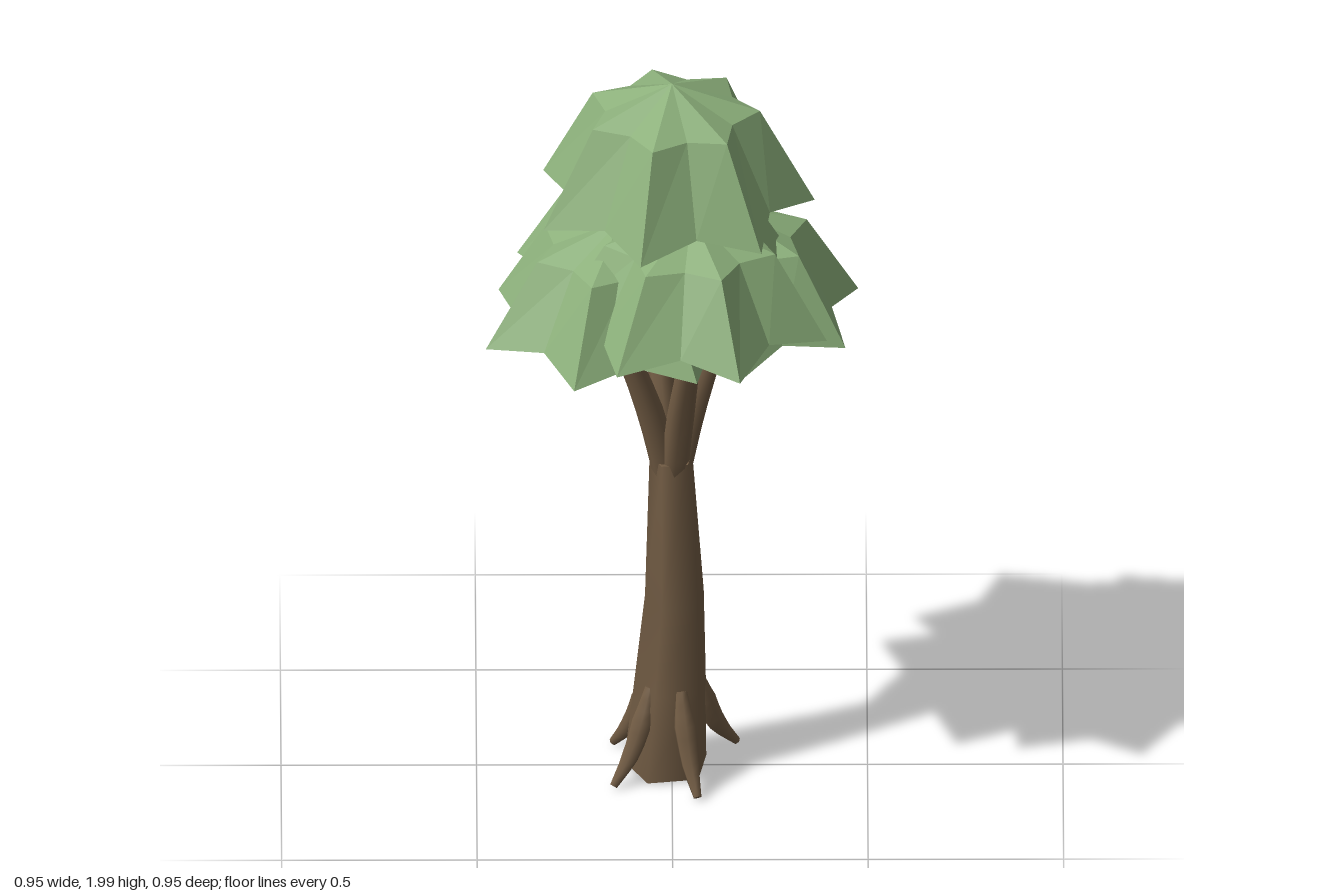
import * as THREE from 'three';

const foliage = new THREE.MeshStandardMaterial({ color: 0x8cb07b });
foliage.name = 'leaf green';
const bark = new THREE.MeshStandardMaterial({ color: 0x725c44 });
bark.name = 'bark brown';

// Skin rings of equal length; the ends are closed with separate flat caps
function loft(rings) {
  const n = rings[0].length, pos = [], idx = [];
  rings.forEach(r => r.forEach(p => pos.push(p.x, p.y, p.z)));
  for (let i = 0; i < rings.length - 1; i++) {
    for (let j = 0; j < n; j++) {
      const a = i * n + j, b = i * n + (j + 1) % n;
      idx.push(a, a + n, b, b, a + n, b + n);
    }
  }
  for (const [ring, flip] of [[rings[0], false], [rings[rings.length - 1], true]]) {
    const base = pos.length / 3;
    ring.forEach(p => pos.push(p.x, p.y, p.z));
    for (let j = 1; j < n - 1; j++) {
      if (flip) idx.push(base, base + j + 1, base + j);
      else idx.push(base, base + j, base + j + 1);
    }
  }
  const g = new THREE.BufferGeometry();
  g.setAttribute('position', new THREE.Float32BufferAttribute(pos, 3));
  g.setIndex(idx);
  g.computeVertexNormals();
  return g;
}

// Horizontal ring, running from +x towards +z
function ring(x, y, z, count, radiusAt, phase = 0) {
  return Array.from({ length: count }, (_, j) => {
    const a = phase + (j / count) * Math.PI * 2, r = radiusAt(j);
    return new THREE.Vector3(x + Math.cos(a) * r, y, z + Math.sin(a) * r);
  });
}

// Tapered limb through stations [x, y, z, radius]
function limb(stations, sides) {
  const curve = new THREE.CatmullRomCurve3(stations.map(s => new THREE.Vector3(s[0], s[1], s[2])));
  const steps = (stations.length - 1) * 3, rings = [];
  for (let i = 0; i <= steps; i++) {
    const f = i / 3, k = Math.min(Math.floor(f), stations.length - 2);
    const r = THREE.MathUtils.lerp(stations[k][3], stations[k + 1][3], f - k);
    const c = curve.getPoint(i / steps);
    const q = new THREE.Quaternion().setFromUnitVectors(new THREE.Vector3(0, 1, 0), curve.getTangent(i / steps));
    rings.push(ring(0, 0, 0, sides, () => r).map(p => p.applyQuaternion(q).add(c)));
  }
  return loft(rings);
}

// Seven-pointed umbrella of leaves; y = 0 is the level of its tips
function crownGeometry(height) {
  const star = (y, r, lift) => ring(0, y, 0, 14, j => (j % 2 ? r * 0.76 : r))
    .map((p, j) => { if (j % 2) p.y += lift; return p; });
  const point = y => ring(0, y, 0, 14, () => 0);
  const g = loft([point(-0.045), star(0, 0.365, 0.03), star(height, 0.225, 0), point(height + 0.08)]).toNonIndexed();
  g.computeVertexNormals();
  return g;
}

export function createModel() {
  const tree = new THREE.Group();
  tree.name = 'tree';
  const add = (name, geometry, material) => {
    const m = new THREE.Mesh(geometry, material);
    m.name = name;
    tree.add(m);
    return m;
  };

  // Five-sided trunk with a slight bend
  const trunk = [[-0.012, 0.012, 0.008, 0.112], [0, 0.25, 0, 0.097], [0.01, 0.5, 0.003, 0.08], [0, 0.91, 0.004, 0.058]];
  add('trunk', loft(trunk.map(([x, y, z, r]) => ring(x, y, z, 5, () => r, Math.PI / 4))), bark);

  // Roots curving out to the ground
  for (const [x, z] of [[0.165, -0.115], [-0.15, 0.125], [0.065, 0.185], [-0.15, -0.11]]) {
    add('root', limb([
      [x * 0.36, 0.26, z * 0.36, 0.016],
      [x * 0.5, 0.17, z * 0.5, 0.03],
      [x * 0.72, 0.08, z * 0.72, 0.024],
      [x, 0.014, z, 0.011],
    ], 6), bark);
  }

  // Four branches, each carrying a leaf crown
  const levels = [1.387, 1.32, 1.367, 1.305];
  levels.forEach((level, i) => {
    const turn = -i * Math.PI / 2;
    const branch = add('branch', limb([
      [0.004, 0.86, 0.012, 0.036],
      [0.022, 1.06, 0.058, 0.035],
      [0.047, 1.28, 0.13, 0.027],
      [0.056, 1.37, 0.155, 0.023],
    ], 8), bark);
    branch.rotation.y = turn;

    const holder = new THREE.Group();
    holder.name = 'lowerCrown';
    holder.rotation.y = turn;
    const leaves = new THREE.Mesh(crownGeometry(0.228), foliage);
    leaves.name = 'lowerLeaves';
    leaves.position.set(0.05, level, 0.133);
    leaves.rotation.y = -1.228;
    holder.add(leaves);
    tree.add(holder);
  });

  // Top crown
  add('topCrown', crownGeometry(0.26), foliage).position.y = 1.66;
  return tree;
}
